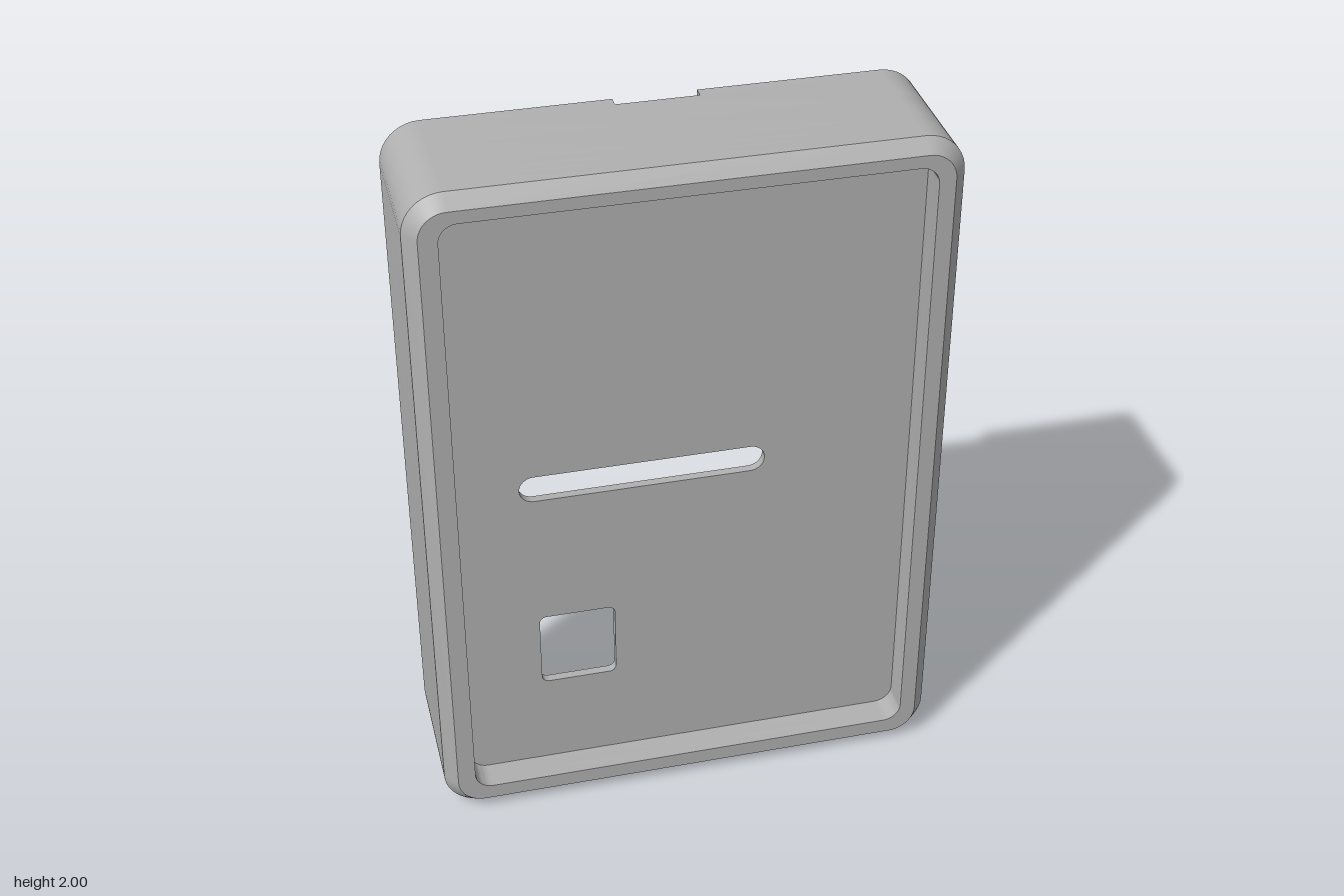
import * as THREE from 'three';
import { toCreasedNormals } from 'three/addons/utils/BufferGeometryUtils.js';

const V = (x, y) => new THREE.Vector2(x, y);
const STEPS = 10;

// Rounded rectangle, counter-clockwise from the bottom right corner
function roundRect(x0, x1, y0, y1, r) {
  const pts = [];
  [[x1 - r, y0 + r, -0.5], [x1 - r, y1 - r, 0], [x0 + r, y1 - r, 0.5], [x0 + r, y0 + r, 1]].forEach(([cx, cy, a]) => {
    for (let i = 0; i <= STEPS; i++) {
      const t = (a + (0.5 * i) / STEPS) * Math.PI;
      pts.push(V(cx + r * Math.cos(t), cy + r * Math.sin(t)));
    }
  });
  return pts;
}

// Case outline: inset 0 has two feet, the full inset has a flat bottom
const LIFT = 0.035;
function outline(inset) {
  const k = 1 - inset / LIFT;
  const rise = [];
  for (let i = 0; i <= STEPS; i++) {
    const t = i / STEPS;
    rise.push([t, inset + k * LIFT * (1 - (1 - t) ** 2)]);
  }
  const right = rise.map(([t, y]) => V(0.52 - 0.12 * t, y)).reverse();
  const left = rise.map(([t, y]) => V(-0.55 + 0.12 * t, y));
  return [...right, ...roundRect(-0.735 + inset, 0.705 - inset, inset, 2 - inset, 0.11 - inset), ...left];
}

const OUTER = outline(0);
const RIM = outline(LIFT);
const INNER = roundRect(-0.65, 0.625, 0.08, 1.93, 0.05);

// Inner outline with a step in the right wall for the button housing
const STEPPED = [
  ...INNER.slice(0, STEPS + 1),
  V(0.625, 0.62), V(0.675, 0.62), V(0.675, 1.32), V(0.625, 1.32),
  ...INNER.slice(STEPS + 1),
];

function ring(outer, inner) {
  const s = new THREE.Shape(outer);
  s.holes.push(new THREE.Path(inner));
  return s;
}

// Open ring, cut through at the top or bottom between two x positions
function cutRing(outer, inner, xa, xb, atTop) {
  const turn = (pts) => {
    if (!atTop) return pts;
    const top = Math.max(...pts.map((p) => p.y)) - 1e-4;
    const k = pts.findIndex((p) => p.x < 0 && p.y > top);
    return [...pts.slice(k), ...pts.slice(0, k)];
  };
  const o = turn(outer), i = turn(inner);
  const [start, end] = atTop ? [xa, xb] : [xb, xa];
  return new THREE.Shape([
    V(start, o[0].y), ...o, V(end, o[0].y),
    V(end, i[0].y), ...[...i].reverse(), V(start, i[0].y),
  ]);
}

function extrude(shape, depth) {
  return toCreasedNormals(new THREE.ExtrudeGeometry(shape, { depth, bevelEnabled: false }), 0.5);
}

// Sloped band joining two outlines with equal point counts
function band(a, b, za, zb) {
  const pos = [], index = [], n = a.length;
  a.forEach((p, i) => {
    pos.push(p.x, p.y, za, b[i].x, b[i].y, zb);
    const j = (i + 1) % n;
    index.push(2 * i, 2 * j, 2 * j + 1, 2 * i, 2 * j + 1, 2 * i + 1);
  });
  const g = new THREE.BufferGeometry();
  g.setAttribute('position', new THREE.Float32BufferAttribute(pos, 3));
  g.setIndex(index);
  return toCreasedNormals(g, 0.5);
}

export function createModel() {
  const model = new THREE.Group();
  const grey = new THREE.MeshStandardMaterial({ color: 0xb0b0b0 });
  grey.name = 'grey plastic';
  const add = (name, geometry) => {
    const m = new THREE.Mesh(geometry, grey);
    m.name = name;
    model.add(m);
    return m;
  };
  const layer = (name, shape, z0, z1) => {
    add(name, extrude(shape, z1 - z0)).position.z = z0;
  };

  // Case walls, from back to front
  layer('notchedBackRim', cutRing(OUTER, INNER, -0.125, 0.1, true), -0.212, -0.18);
  layer('backWalls', ring(OUTER, INNER), -0.18, -0.06);
  layer('middleWalls', cutRing(OUTER, STEPPED, -0.2, 0.17, false), -0.06, 0.06);
  layer('steppedWalls', ring(OUTER, STEPPED), 0.06, 0.1);
  layer('frontWalls', ring(OUTER, INNER), 0.125, 0.172);
  layer('frontRim', ring(RIM, INNER), 0.172, 0.212);
  add('frontChamfer', band(OUTER, RIM, 0.172, 0.212));

  // Front panel with a long slot and a square window
  const panel = new THREE.Shape(OUTER);
  panel.holes.push(
    new THREE.Path(roundRect(-0.47, 0.21, 1.005, 1.085, 0.0399)),
    new THREE.Path(roundRect(-0.43, -0.215, 0.365, 0.6, 0.02)),
  );
  layer('frontPanel', panel, 0.1, 0.125);

  // Bottom wall section with the port slot
  const port = ring(
    [V(-0.2, -0.06), V(0.17, -0.06), V(0.17, 0.06), V(-0.2, 0.06)],
    roundRect(-0.145, 0.115, -0.037, 0.037, 0.0369),
  );
  const bottom = add('portSection', extrude(port, 0.08 - LIFT));
  bottom.rotation.x = -Math.PI / 2;
  bottom.position.y = LIFT;

  // Inner lining of the right wall with two pockets
  const lining = ring(
    [V(-0.1, 0.62), V(0.06, 0.62), V(0.06, 1.32), V(-0.1, 1.32)],
    roundRect(-0.09, 0.045, 1.025, 1.275, 0.05),
  );
  lining.holes.push(new THREE.Path(roundRect(-0.085, 0.02, 0.66, 1.0, 0.008)));
  const pockets = add('buttonHousing', extrude(lining, 0.05));
  pockets.rotation.y = Math.PI / 2;
  pockets.position.x = 0.625;

  // Side button
  const button = add('sideButton', extrude(new THREE.Shape(roundRect(-0.066, 0.025, 1.055, 1.24, 0.0454)), 0.08));
  button.rotation.y = Math.PI / 2;
  button.position.x = 0.65;

  return model;
}
